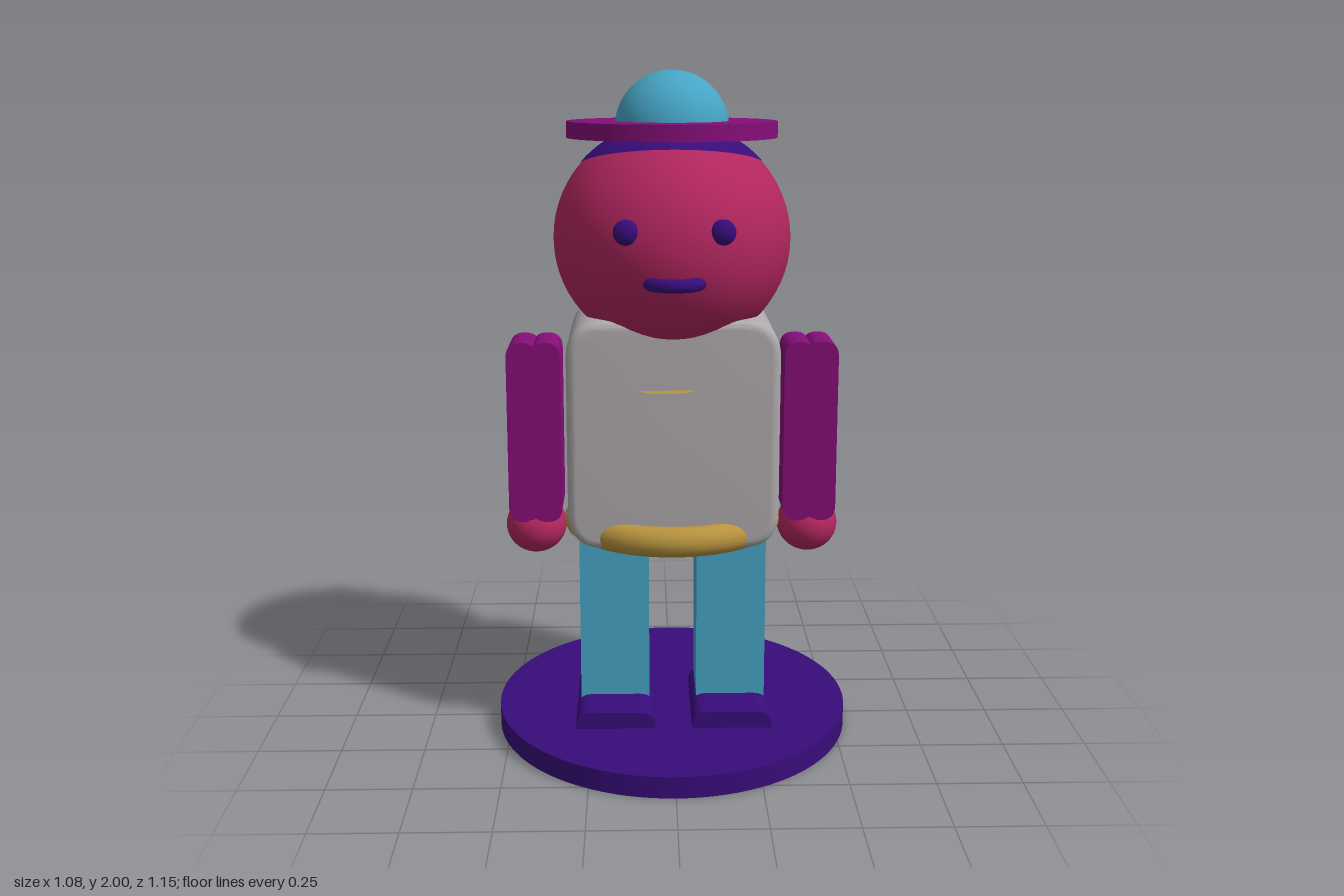
import * as THREE from 'three';
import { toCreasedNormals } from 'three/addons/utils/BufferGeometryUtils.js';

const mat = (name, color, extra = {}) => {
  const m = new THREE.MeshStandardMaterial({ color, ...extra });
  m.name = name;
  return m;
};

// Rounded rectangle centred on the origin
function roundedRect(w, h, r) {
  const x = w / 2, y = h / 2, s = new THREE.Shape();
  s.moveTo(-x + r, -y).lineTo(x - r, -y).quadraticCurveTo(x, -y, x, -y + r);
  s.lineTo(x, y - r).quadraticCurveTo(x, y, x - r, y);
  s.lineTo(-x + r, y).quadraticCurveTo(-x, y, -x, y - r);
  s.lineTo(-x, -y + r).quadraticCurveTo(-x, -y, -x + r, -y);
  return s;
}

// Tall slab outline with two round lobes at each end
function lobedSlab(w, h) {
  const x = w / 2, y = h / 2, m = x * 0.45, s = new THREE.Shape();
  s.moveTo(-x, -y + 0.045).quadraticCurveTo(-x, -y, -m, -y);
  s.quadraticCurveTo(-0.008, -y, 0, -y + 0.013).quadraticCurveTo(0.008, -y, m, -y);
  s.quadraticCurveTo(x, -y, x, -y + 0.045).lineTo(x, y - 0.045);
  s.quadraticCurveTo(x, y, m, y).quadraticCurveTo(0.008, y, 0, y - 0.013);
  s.quadraticCurveTo(-0.008, y, -m, y).quadraticCurveTo(-x, y, -x, y - 0.045);
  s.closePath();
  return s;
}

// Extrusion centred on z = 0; the bevel is part of the total depth
function slab(shape, depth, bevel = 0) {
  const g = new THREE.ExtrudeGeometry(shape, {
    depth: depth - 2 * bevel, curveSegments: 10,
    bevelEnabled: bevel > 0, bevelThickness: bevel, bevelSize: bevel, bevelOffset: -bevel, bevelSegments: 5,
  });
  g.translate(0, 0, -(depth - 2 * bevel) / 2);
  return toCreasedNormals(g, 0.6);
}

export function createModel() {
  const group = new THREE.Group();
  const skin = mat('crimson', 0xb2265f);
  const navy = mat('indigo', 0x380c7a);
  const purple = mat('purple', 0x850e78);
  const blue = mat('blue', 0x46a4c4);
  const grey = mat('grey', 0xaea9ab);
  const gold = mat('gold', 0xb8943f);
  const goldSheet = mat('gold sheet', 0xb8943f, { side: THREE.DoubleSide });

  const add = (name, geo, material, x, y, z) => {
    const mesh = new THREE.Mesh(geo, material);
    mesh.name = name;
    mesh.position.set(x, y, z);
    group.add(mesh);
    return mesh;
  };
  const ball = (rx, ry, rz) => new THREE.SphereGeometry(1, 48, 32).scale(rx, ry, rz);

  // Oval stand
  add('stand', new THREE.CylinderGeometry(1, 1, 0.065, 96).scale(0.54, 1, 0.573), navy, 0, 0.0325, 0);

  // Body and belt
  add('torso', slab(roundedRect(0.62, 0.68, 0.11), 0.46, 0.025), grey, 0, 0.96, 0);
  const belt = new THREE.TorusGeometry(0.285, 0.045, 20, 80).rotateX(Math.PI / 2).scale(1, 1, 0.924);
  add('belt', belt, gold, 0, 0.655, 0);

  // Paper-thin half disc on the chest
  const badge = new THREE.CircleGeometry(0.08, 24, Math.PI, Math.PI).rotateX(-Math.PI / 2).scale(1, 1, 0.6);
  add('chestBadge', badge, goldSheet, -0.02, 1.1, 0.228);

  // Limbs, mirrored
  for (const [side, s] of [['left', 1], ['right', -1]]) {
    add(side + 'Leg', new THREE.BoxGeometry(0.21, 0.62, 0.23), blue, s * 0.177, 0.36, 0);
    add(side + 'Foot', slab(roundedRect(0.24, 0.1, 0.048), 0.355), navy, s * 0.175, 0.066, 0.0775);
    add(side + 'Arm', slab(lobedSlab(0.16, 0.55), 0.18), purple, s * 0.413, 0.94, 0);
    add(side + 'Hand', ball(0.092, 0.087, 0.1), skin, s * 0.417, 0.635, 0);
    add(side + 'Eye', ball(0.036, 0.036, 0.025), navy, s * 0.133, 1.566, 0.34);
  }

  // Head, with a cap of hair tilted to the back
  add('head', ball(0.35, 0.338, 0.373), skin, 0, 1.515, 0);
  const hair = new THREE.SphereGeometry(1.006, 64, 24, 0, Math.PI * 2, 0, 0.9);
  add('hair', hair.rotateX(-0.24).scale(0.35, 0.338, 0.373), navy, 0, 1.515, 0);

  // Mouth: a half ring lying flat
  add('mouth', new THREE.TorusGeometry(0.073, 0.019, 14, 32, Math.PI).rotateX(Math.PI / 2), navy, 0, 1.425, 0.318);

  // Hat
  add('hatBrim', new THREE.CylinderGeometry(0.308, 0.308, 0.047, 80), purple, 0, 1.831, 0);
  add('hatDome', new THREE.SphereGeometry(0.167, 48, 20, 0, Math.PI * 2, 0, Math.PI / 2), blue, 0, 1.833, 0);

  return group;
}
